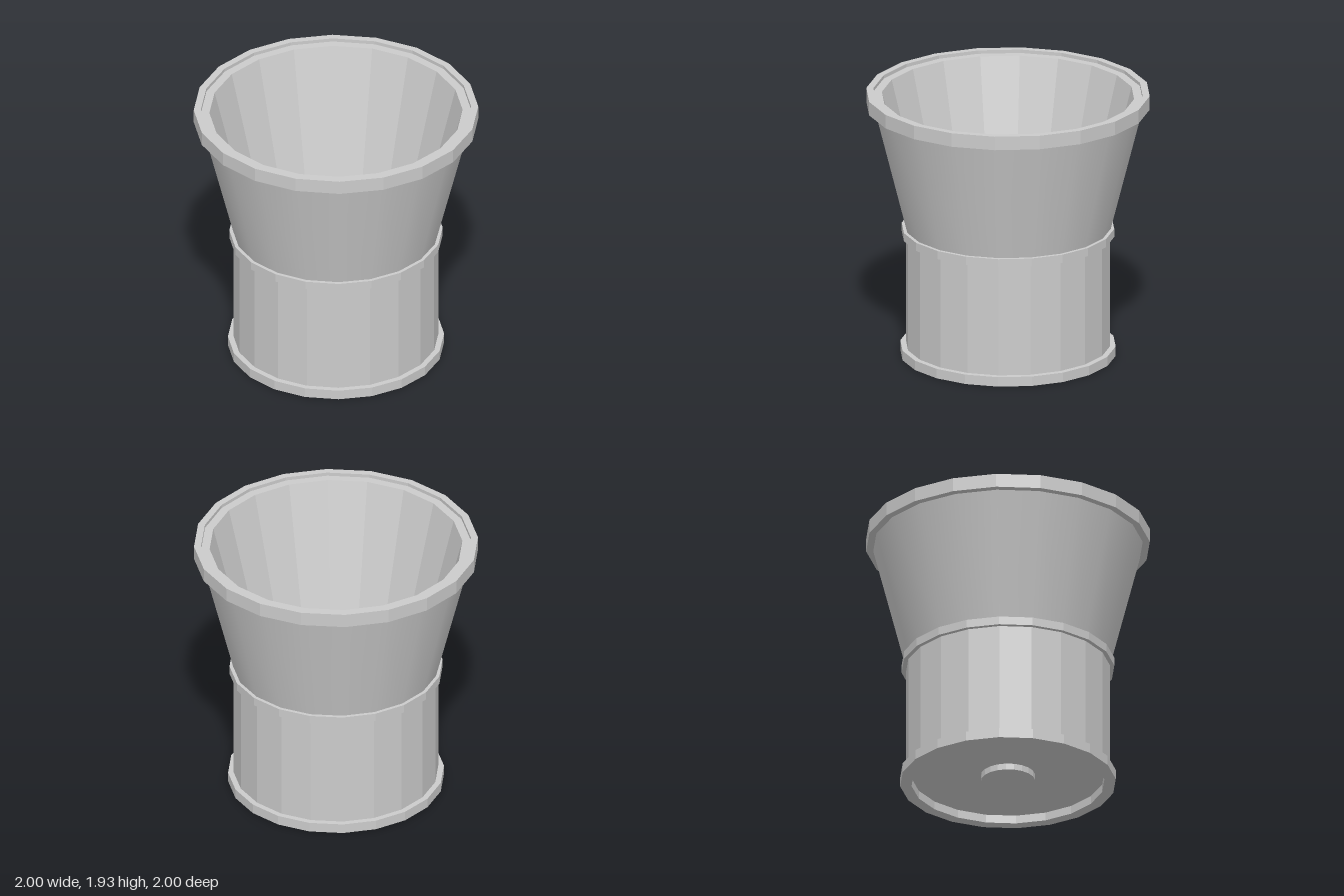
import * as THREE from 'three';

const SIDES = 20;

export function createModel() {
  const group = new THREE.Group();
  const flat = new THREE.MeshStandardMaterial({ color: 0xcccccc, flatShading: true });
  const smooth = new THREE.MeshStandardMaterial({ color: 0xcccccc });

  // Turns a profile of [radius, height] points, running counter-clockwise, around the y axis
  const turn = (name, profile, material = flat) => {
    const points = profile.map(([r, y]) => new THREE.Vector2(r, y));
    const mesh = new THREE.Mesh(new THREE.LatheGeometry(points, SIDES), material);
    mesh.name = name;
    group.add(mesh);
  };

  // Closed band with a rectangular section
  const band = (name, inner, outer, bottom, top) =>
    turn(name, [[inner, bottom], [outer, bottom], [outer, top], [inner, top], [inner, bottom]]);

  // Foot ring, raised underside and the small round boss beneath it
  band('footRing', 0.68, 0.76, 0, 0.07);
  turn('underside', [[0, 0.06], [0.7, 0.06]]);
  turn('baseBoss', [[0, 0.015], [0.19, 0.015], [0.19, 0.06]]);

  // Faceted lower drum and the ring that closes it
  turn('lowerBody', [[0.72, 0.06], [0.72, 0.9]]);
  band('middleRing', 0.7, 0.75, 0.88, 0.94);

  // Smooth flaring outer wall
  turn('flaredWall', [[0.715, 0.9], [0.95, 1.83]], smooth);

  // Rim band, with the wall's top edge set slightly below it
  band('rim', 0.95, 1, 1.83, 1.93);
  turn('wallTop', [[0.95, 1.905], [0.89, 1.905]]);

  // Faceted inside wall and floor
  turn('innerWall', [[0.89, 1.905], [0.54, 0.54]]);
  turn('innerFloor', [[0.54, 0.54], [0, 0.54]]);

  return group;
}
